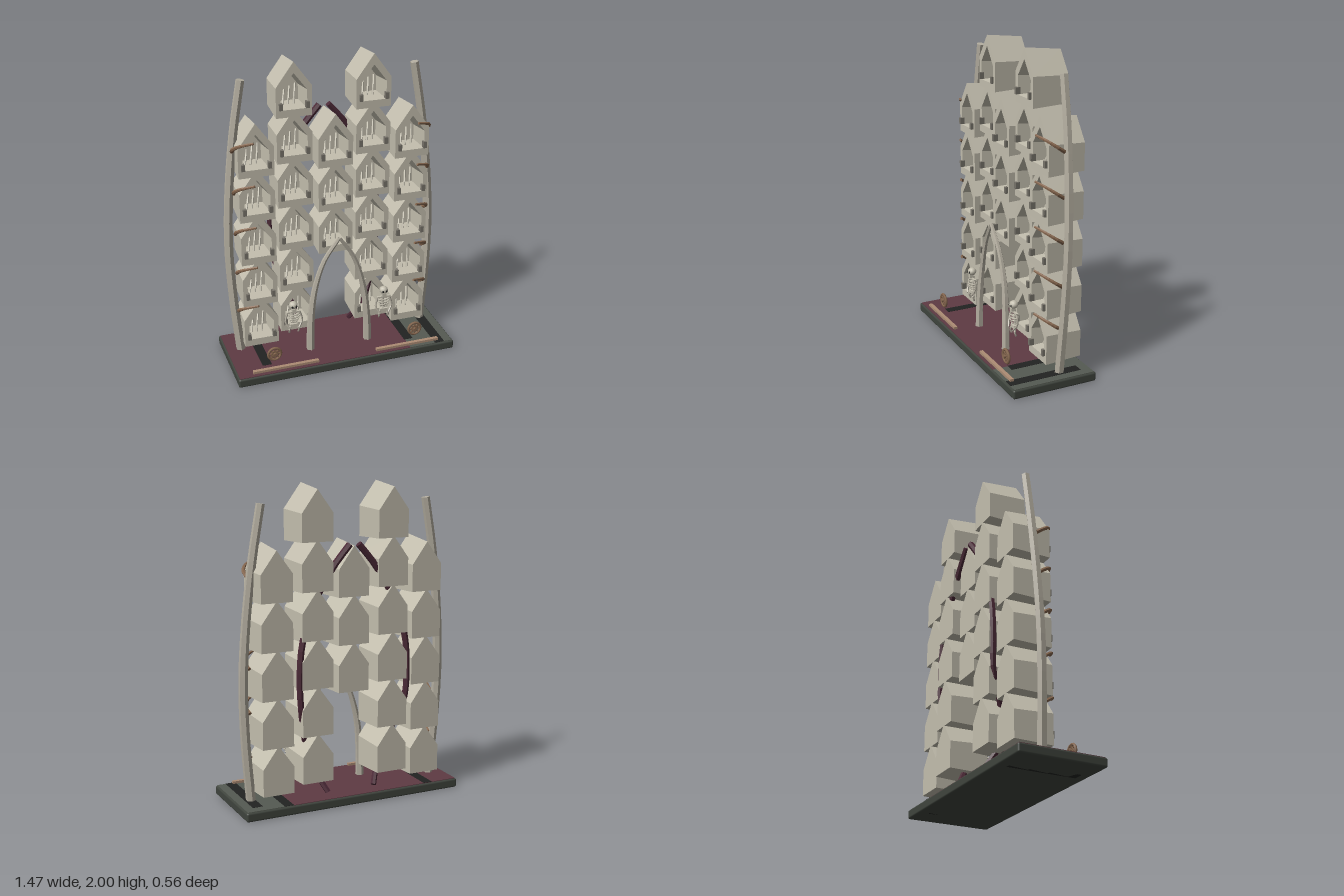
import * as THREE from 'three';
import { RoundedBoxGeometry } from 'three/addons/geometries/RoundedBoxGeometry.js';

const mat = (name, color) => {
  const m = new THREE.MeshStandardMaterial({ color });
  m.name = name;
  return m;
};
const V = (x, y, z) => new THREE.Vector3(x, y, z);

// Flat-faced geometry from a list of points, three per triangle
function fromTriangles(points) {
  const g = new THREE.BufferGeometry().setFromPoints(points);
  g.computeVertexNormals();
  return g;
}

// Band between two counter-clockwise rings; a lies in front of b (or outside it)
function band(out, a, b) {
  a.forEach((p, i) => {
    const j = (i + 1) % a.length;
    out.push(p, b[i], b[j], p, b[j], a[j]);
  });
}

function fan(out, ring, reverse) {
  for (let i = 1; i < ring.length - 1; i++) {
    out.push(ring[0], ring[reverse ? i + 1 : i], ring[reverse ? i : i + 1]);
  }
}

// Gabled outline, counter-clockwise from the front
const gable = (w, bottom, eave, tip, z, s = 1, cy = 0.08) =>
  [[-w, bottom], [w, bottom], [w, eave], [0, tip], [-w, eave]]
    .map(([x, y]) => V(x * s, cy + (y - cy) * s, z));

// Gabled block with a tapering niche
function cellGeometry() {
  const t = [];
  const front = gable(0.113, 0, 0.19, 0.345, 0);
  const back = gable(0.113, 0, 0.19, 0.345, -0.243, 0.9);
  const mouth = gable(0.083, 0.048, 0.165, 0.275, 0);
  const inner = gable(0.083, 0.048, 0.165, 0.275, -0.15, 0.84, 0.1);
  band(t, front, back);
  band(t, mouth, front);
  band(t, inner, mouth);
  fan(t, back, true);
  fan(t, inner, false);
  return fromTriangles(t);
}

// Faceted tapering tube with closed ends
function horn(points, r0, r1, sides = 6, segs = 14) {
  const curve = new THREE.CatmullRomCurve3(points.map((p) => V(...p)));
  const p = new THREE.TubeGeometry(curve, segs, 1, sides).attributes.position;
  const rings = [];
  for (let i = 0; i <= segs; i++) {
    const c = curve.getPointAt(i / segs), r = r0 + (r1 - r0) * i / segs, ring = [];
    for (let j = 0; j < sides; j++) {
      ring.push(V(0, 0, 0).fromBufferAttribute(p, i * (sides + 1) + j).sub(c).multiplyScalar(r).add(c));
    }
    rings.push(ring);
  }
  // Find the winding so that faces point outward
  const c0 = curve.getPointAt(0), e1 = rings[0][0].clone().sub(c0), e2 = rings[0][1].clone().sub(c0);
  if (e1.cross(e2).dot(curve.getTangentAt(0)) > 0) rings.forEach((r) => r.reverse());
  const t = [];
  for (let i = 0; i < segs; i++) band(t, rings[i], rings[i + 1]);
  // rings now run clockwise about the tangent
  fan(t, rings[0], false);
  fan(t, rings[segs], true);
  return fromTriangles(t);
}

export function createModel() {
  const model = new THREE.Group();
  const bone = mat('bone', 0xc3beae), horns = mat('horn', 0xb3ad9f), pegs = mat('peg grey', 0x77736a);
  const maroon = mat('maroon floor', 0x5e3a43), cordM = mat('dark maroon', 0x4c2a37);
  const stone = mat('green stone', 0x3f443d), pale = mat('pale stone', 0x555a52);
  const black = mat('black', 0x222322), brown = mat('brown', 0x86674f), tan = mat('tan wood', 0xac8c74);

  const add = (parent, name, geo, m, x = 0, y = 0, z = 0) => {
    const mesh = new THREE.Mesh(geo, m);
    mesh.name = name;
    mesh.position.set(x, y, z);
    parent.add(mesh);
    return mesh;
  };
  const group = (name, parent = model, x = 0, y = 0, z = 0) => {
    const g = new THREE.Group();
    g.name = name;
    g.position.set(x, y, z);
    parent.add(g);
    return g;
  };
  const plate = (name, m, x0, x1, z0, z1, y, h = 0.003) =>
    add(model, name, new THREE.BoxGeometry(x1 - x0, h, z1 - z0), m, (x0 + x1) / 2, y, (z0 + z1) / 2);

  // Base slab, floor panels and dark straps
  add(model, 'base', new RoundedBoxGeometry(1.47, 0.058, 0.565, 2, 0.012), stone, 0, 0.029, 0);
  plate('floor', maroon, -0.725, 0.43, -0.272, 0.272, 0.058, 0.006);
  plate('sideFloor', pale, 0.43, 0.725, -0.272, 0.272, 0.058, 0.006);
  plate('strap', black, -0.55, -0.49, -0.272, 0.17, 0.061);
  plate('strap', black, 0.425, 0.485, -0.272, 0.17, 0.061);
  plate('strap', black, 0.605, 0.67, -0.21, 0.272, 0.061);
  for (const s of [-1, 1]) plate('lowerStrap', black, s * 0.52 - 0.035, s * 0.52 + 0.035, -0.22, 0.22, 0.0015);

  // Wall of stacked niches: x, lowest base, count, front z
  const cellGeo = cellGeometry();
  const pegGeo = new THREE.BoxGeometry(0.022, 0.042, 0.03);
  const slats = [[-0.042, 0.075], [-0.008, 0.095], [0.028, 0.11]].map(([x, h]) =>
    horn([[x - 0.012, 0.06, -0.07], [x, 0.06 + h / 2, -0.09], [x + 0.016, 0.06 + h, -0.13]], 0.007, 0.005, 5, 3));
  const columns = [
    [-0.507, 0.118, 5, 0.005], [-0.255, 0.17, 6, -0.022], [0, 0.713, 3, 0.005],
    [0.255, 0.17, 6, -0.022], [0.507, 0.118, 5, 0.005]];
  for (const [x, y, n, z] of columns) {
    for (let i = 0; i < n; i++) {
      const cell = group('niche', model, x, y + i * 0.297, z);
      add(cell, 'nicheBlock', cellGeo, bone);
      for (const g of slats) add(cell, 'slat', g, bone);
      for (const s of [-1, 1]) add(cell, 'peg', pegGeo, pegs, s * 0.084, 0.073, 0.001);
    }
  }

  const ribGeo = new THREE.TorusGeometry(1, 0.2, 5, 12);
  for (const s of [-1, 1]) {
    const path = (pts) => pts.map(([x, y, z]) => [x * s, y, z]);

    // Tall outer tusk with its hooks
    add(model, 'outerTusk', horn(path([[0.632, 0.06, -0.08], [0.665, 0.45, -0.09], [0.677, 0.8, -0.1],
      [0.66, 1.15, -0.11], [0.615, 1.55, -0.118], [0.557, 1.89, -0.12]]), 0.031, 0.027, 6, 16), horns);
    for (let i = 0; i < 5; i++) {
      const y = 0.43 + i * 0.278;
      add(model, 'hook', horn(path([[0.632, y - 0.09, -0.09], [0.64, y - 0.06, -0.045],
        [0.61, y - 0.025, 0.005], [0.53, y, 0.045]]), 0.013, 0.008, 6, 8), brown);
    }

    // Half of the pointed gateway
    add(model, 'gateTusk', horn(path([[0.198, 0.06, 0.07], [0.193, 0.25, 0.068], [0.165, 0.48, 0.062],
      [0.1, 0.69, 0.066], [0, 0.845, 0.075]]), 0.028, 0.012, 6, 14), horns);

    // Cord arching behind the wall
    add(model, 'cord', horn(path([[0.03, 1.635, -0.235], [0.14, 1.505, -0.235], [0.28, 1.27, -0.237],
      [0.35, 1.05, -0.243], [0.368, 0.83, -0.243], [0.355, 0.63, -0.235],
      [0.3, 0.42, -0.16], [0.235, 0.24, -0.12], [0.16, 0.08, -0.2]]), 0.021, 0.018, 6, 24), cordM);

    // Skeleton guard
    const sk = group('skeleton', model, s * 0.31, 0, 0.068);
    add(sk, 'skull', new THREE.SphereGeometry(0.029, 10, 8), bone, 0, 0.41, 0.002).scale.y = 0.9;
    add(sk, 'jaw', new THREE.BoxGeometry(0.028, 0.02, 0.026), bone, 0, 0.38, 0.01);
    for (const e of [-1, 1]) {
      add(sk, 'eyeSocket', new THREE.SphereGeometry(0.008, 6, 5), black, e * 0.011, 0.409, 0.026).scale.z = 0.5;
      add(sk, 'arm', horn([[e * 0.042, 0.355, 0], [e * 0.056, 0.295, 0.005], [e * 0.03, 0.25, 0.022]], 0.007, 0.006, 5, 6), horns);
      add(sk, 'leg', horn([[e * 0.018, 0.262, 0], [e * 0.032, 0.235, 0.01], [e * 0.03, 0.208, 0]], 0.008, 0.006, 5, 4), horns);
    }
    add(sk, 'spine', new THREE.CylinderGeometry(0.007, 0.007, 0.12, 6), horns, 0, 0.315, -0.008);
    add(sk, 'shoulders', new THREE.BoxGeometry(0.09, 0.01, 0.014), bone, 0, 0.358, 0);
    add(sk, 'pelvis', new THREE.BoxGeometry(0.05, 0.02, 0.024), bone, 0, 0.263, 0);
    [0.038, 0.04, 0.036, 0.028].forEach((r, i) => {
      const rib = add(sk, 'rib', ribGeo, bone, 0, 0.345 - i * 0.018, 0);
      rib.rotation.x = Math.PI / 2;
      rib.scale.set(r * 0.9, r * 0.6, 0.022);
    });

    // Spoked wheel near the front edge
    const wheel = group('wheel', model, s * 0.48, 0.16, 0.207);
    add(wheel, 'rim', new THREE.TorusGeometry(0.042, 0.009, 6, 16), brown);
    add(wheel, 'innerRing', new THREE.TorusGeometry(0.021, 0.006, 5, 12), brown);
    add(wheel, 'hub', new THREE.CylinderGeometry(0.011, 0.011, 0.036, 8), brown).rotation.x = Math.PI / 2;
    for (let i = 0; i < 4; i++) {
      add(wheel, 'spoke', new THREE.BoxGeometry(0.08, 0.009, 0.01), brown).rotation.z = i * Math.PI / 4;
    }

    // Board lying along the front
    add(model, 'frontBoard', new THREE.BoxGeometry(0.435, 0.016, 0.024), tan, s * 0.415, 0.075, 0.243);
  }
  return model;
}
